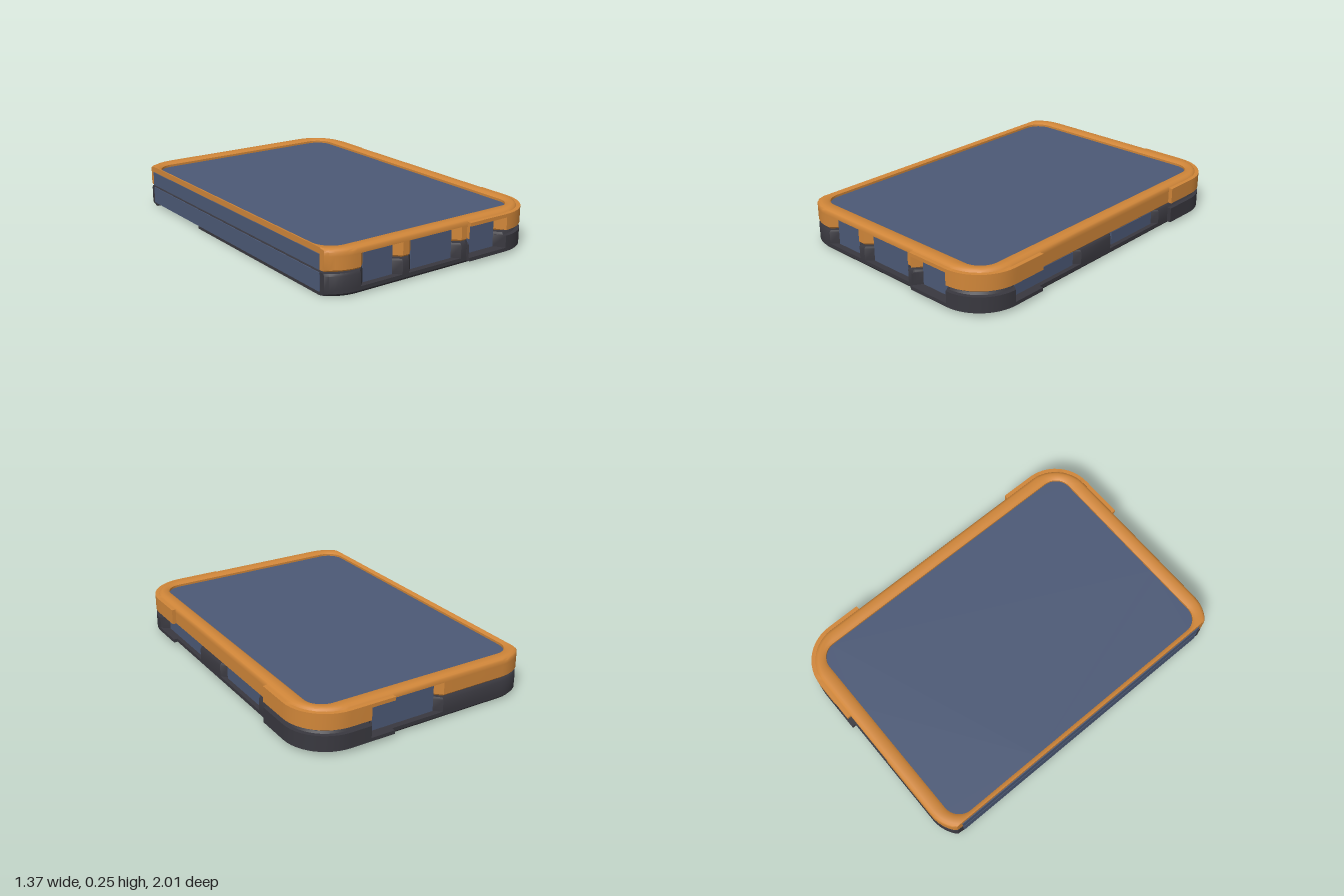
import * as THREE from 'three';
import { toCreasedNormals } from 'three/addons/utils/BufferGeometryUtils.js';

const material = (name, color) => new THREE.MeshStandardMaterial({ name, color });
const LEFT = -0.68; // flat open side
const FLANK = 0.04, BUMP = 0.023, SCOOP = 0.04;
const frontPorts = [[-0.47, -0.29], [-0.17, 0.1], [0.215, 0.4]];
const backPorts = [[-0.1, 0.28]];
const sidePorts = [[0.27, 0.72], [-0.43, -0.06]];
const NOTCH = [-0.86, -0.33]; // rear opening, in z

// 1 inside a port, fading to 0 over its flanks
const scoopAt = (ports, v) => Math.max(0, ...ports.map(([a, b]) =>
  THREE.MathUtils.clamp(1 - Math.max(a - v, v - b) / FLANK, 0, 1)));
const stops = (ports, extra) => [...ports.flatMap(([a, b]) => [a - FLANK, a, b, b + FLANK]), ...extra]
  .sort((p, q) => p - q);

// Rounded rectangle, counter-clockwise from above, clipped along the flat side
function outline(x0, x1, zh, r) {
  const pts = [];
  const cx0 = x0 + r, cx1 = x1 - r, cz = zh - r;
  const clampX = (x) => THREE.MathUtils.clamp(x, cx0, cx1);
  const clampZ = (z) => THREE.MathUtils.clamp(z, -cz, cz);
  const add = (x, z, nx, nz, scoop, bump) => pts.push({ x: Math.max(x, LEFT), z, nx, nz, scoop, bump });
  const corner = (cx, czz, from, bump) => {
    for (let i = 0; i <= 12; i++) {
      const a = from - (i / 12) * Math.PI / 2, nx = Math.cos(a), nz = Math.sin(a);
      add(cx + r * nx, czz + r * nz, nx, nz, 0, bump);
    }
  };
  for (const x of stops(frontPorts, [0.1799, 0.18])) add(clampX(x), zh, 0, 1, scoopAt(frontPorts, x), x >= 0.18 ? 1 : 0);
  corner(cx1, cz, Math.PI / 2, 1);
  for (const z of stops(sidePorts, [-0.56, -0.5599, 0.5599, 0.56]).reverse())
    add(x1, clampZ(z), 1, 0, scoopAt(sidePorts, z), Math.abs(z) >= 0.56 ? 1 : 0);
  corner(cx1, -cz, 0, 1);
  for (const x of stops(backPorts, [0.1799, 0.18]).reverse()) add(clampX(x), -zh, 0, -1, scoopAt(backPorts, x), x >= 0.18 ? 1 : 0);
  corner(cx0, -cz, -Math.PI / 2, 0);
  for (const z of [-0.5, NOTCH[1], NOTCH[1] + 0.0001, 0, 0.5]) add(x0, clampZ(z), -1, 0, 0, 0);
  corner(cx0, cz, -Math.PI, 0);
  return pts;
}
const outer = (inset) => outline(-0.75 + inset, 0.66 - inset, 0.98 - inset, 0.22 - inset);
const inner = (grow) => outline(-0.657 - grow, 0.585 + grow, 0.9 + grow, 0.1 + grow);

// Skin through rows of matching outlines; rows are [points, y, bump, scoop]
function loft(rows, sidesScooped, notched) {
  const grid = rows.map(([pts, y, bump, scoop]) => pts.map((p) => {
    const side = Math.abs(p.nx) === 1;
    const s = side && !sidesScooped ? 0 : p.scoop * scoop;
    const d = p.bump * bump * BUMP * (1 - s) - s * SCOOP;
    const open = notched && p.x <= LEFT + 1e-4 && p.z >= NOTCH[0] && p.z <= NOTCH[1];
    return [p.x + p.nx * d, open ? Math.max(y, 0.02) : y, p.z + p.nz * d];
  }));
  const pos = [], n = grid[0].length;
  for (let j = 0; j + 1 < grid.length; j++) {
    for (let i = 0; i < n; i++) {
      const k = (i + 1) % n;
      const [a, b, c, d] = [grid[j][i], grid[j][k], grid[j + 1][k], grid[j + 1][i]];
      pos.push(...a, ...b, ...c, ...a, ...c, ...d);
    }
  }
  const g = new THREE.BufferGeometry();
  g.setAttribute('position', new THREE.Float32BufferAttribute(pos, 3));
  return toCreasedNormals(g, 0.6);
}

// Flat slab from [x, z] points
function slab(points, y0, y1) {
  const shape = new THREE.Shape(points.map(([x, z]) => new THREE.Vector2(x, -z)));
  const g = new THREE.ExtrudeGeometry(shape, { depth: y1 - y0, bevelEnabled: false });
  return g.rotateX(-Math.PI / 2).translate(0, y0, 0);
}

export function createModel() {
  const model = new THREE.Group();
  model.name = 'tabletCase';
  const orange = material('orange', 0xd08639);
  const dark = material('charcoal', 0x39383f);
  const blue = material('slateBlue', 0x4c5976);
  const add = (name, geometry, mat) => {
    const mesh = new THREE.Mesh(geometry, mat);
    mesh.name = name;
    model.add(mesh);
  };
  const box = (name, x0, x1, y0, y1, z0, z1) => add(name,
    new THREE.BoxGeometry(x1 - x0, y1 - y0, z1 - z0).translate((x0 + x1) / 2, (y0 + y1) / 2, (z0 + z1) / 2), blue);

  // Front frame: underside, wall with corner bumpers and port scoops, rounded rim, inner lip
  add('frontFrame', loft([
    [inner(0), 0.13, 0, 0],
    [outer(0.01), 0.13, 0, 1],
    [outer(0), 0.14, 0, 1],
    [outer(0), 0.14, 1, 1],
    [outer(0), 0.21, 1, 1],
    [outer(0), 0.21, 1, 0],
    [outer(0), 0.23, 1, 0],
    [outer(0), 0.23, 0, 0],
    [outer(0.006), 0.239, 0, 0],
    [outer(0.02), 0.245, 0, 0],
    [inner(0.015), 0.245, 0, 0],
    [inner(0), 0.235, 0, 0],
    [inner(0), 0.215, 0, 0],
  ], false, false), orange);

  // Back shell: rounded lower edge, wall, top ledge
  add('backShell', loft([
    [outer(0.03), 0, 0, 0],
    [outer(0.012), 0.006, 0, 0],
    [outer(0), 0.02, 0, 0],
    [outer(0), 0.02, 1, 0],
    [outer(0), 0.04, 1, 0],
    [outer(0), 0.04, 1, 1],
    [outer(0), 0.108, 1, 1],
    [outer(0), 0.108, 0, 1],
    [outer(0.008), 0.12, 0, 1],
    [inner(0), 0.12, 0, 0],
  ], true, true), dark);

  // Back plate with the rounded opening that runs out through the flat side
  const opening = [[LEFT, NOTCH[0]]];
  for (const [cx, cz, from] of [[0.36, NOTCH[0] + 0.14, -Math.PI / 2], [0.36, NOTCH[1] - 0.14, 0]])
    for (let i = 0; i <= 8; i++) {
      const a = from + (i / 8) * Math.PI / 2;
      opening.push([cx + 0.14 * Math.cos(a), cz + 0.14 * Math.sin(a)]);
    }
  opening.push([LEFT, NOTCH[1]]);
  const edge = outer(0.03);
  const clipped = edge.filter((p) => p.x <= LEFT + 1e-6);
  const first = edge.indexOf(clipped[0]);
  const reach = Math.max(...clipped.map((p) => p.z));
  const plate = edge.slice(0, first).map((p) => [p.x, p.z]);
  plate.push([LEFT, -reach], ...opening, [LEFT, reach]);
  plate.push(...edge.slice(first).filter((p) => p.x > LEFT + 1e-6).map((p) => [p.x, p.z]));
  add('backPlate', slab(plate, 0, 0.02), dark);
  add('exposedBack', slab(opening, 0.018, 0.024), blue);

  // Screen
  add('screen', slab(inner(0.005).map((p) => [p.x, p.z]), 0.212, 0.222), blue);

  // Exposed body along the flat side
  box('upperSideBand', -0.685, -0.66, 0.132, 0.212, -0.88, 0.88);
  box('lowerSideBand', -0.685, -0.66, 0.02, 0.118, -0.88, 0.88);

  // Ports and buttons seated in the scoops
  for (const [a, b] of frontPorts) box('frontPort', a, b, 0.04, 0.21, 0.91, 0.945);
  for (const [a, b] of backPorts) box('backPort', a, b, 0.04, 0.21, -0.945, -0.91);
  for (const [a, b] of sidePorts) box('sideButton', 0.59, 0.635, 0.04, 0.115, a, b);

  return model;
}
